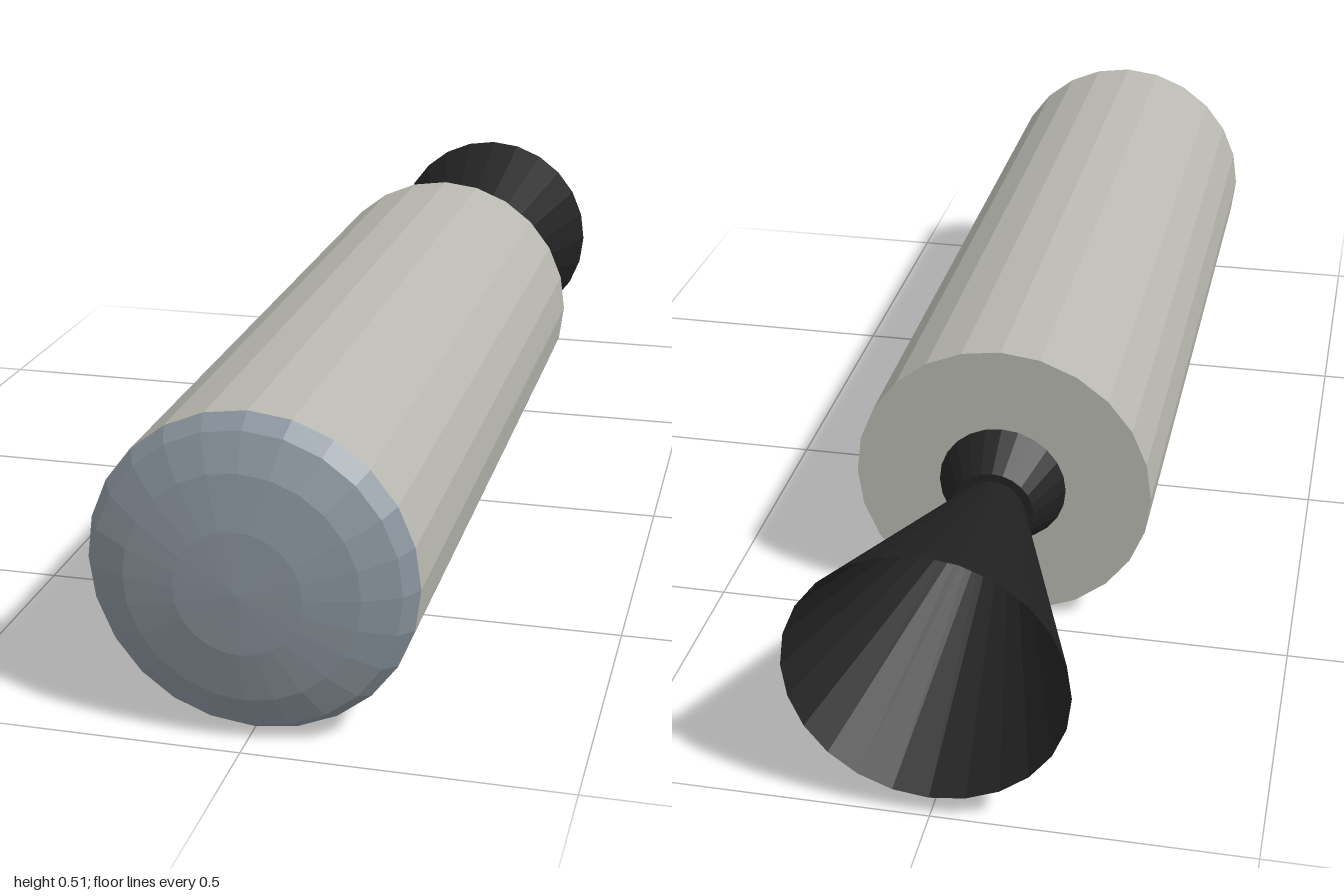
import * as THREE from 'three';

const SIDES = 24;
const RADIUS = 0.254;

function material(name, color, side = THREE.FrontSide) {
  const m = new THREE.MeshStandardMaterial({ color, side, flatShading: true });
  m.name = name;
  return m;
}

// Frustum lying along z, from its front end to its back end
function frustum(name, mat, zFront, rFront, zBack, rBack, open) {
  const g = new THREE.CylinderGeometry(rFront, rBack, zFront - zBack, SIDES, 1, open);
  g.rotateX(Math.PI / 2);
  const mesh = new THREE.Mesh(g, mat);
  mesh.name = name;
  mesh.position.z = (zFront + zBack) / 2;
  return mesh;
}

export function createModel() {
  const group = new THREE.Group();
  group.name = 'rocketStage';

  const hull = material('warm grey hull', 0xb8b8b0);
  const domeGrey = material('blue grey dome', 0x87919a);
  const engineBlack = material('engine black', 0x222222, THREE.DoubleSide);

  // Rocket stage built along z, then lifted to stand on the ground
  const stage = new THREE.Group();
  stage.name = 'stage';
  stage.position.y = RADIUS;
  group.add(stage);

  // Tank body
  stage.add(frustum('tankBody', hull, 0.92, RADIUS, -0.453, RADIUS, false));

  // Shallow front dome
  const domeGeometry = new THREE.SphereGeometry(RADIUS, SIDES, 4, 0, Math.PI * 2, 0, Math.PI / 2);
  domeGeometry.rotateX(Math.PI / 2).scale(1, 1, 0.08 / RADIUS);
  const dome = new THREE.Mesh(domeGeometry, domeGrey);
  dome.name = 'frontDome';
  dome.position.z = 0.92;
  stage.add(dome);

  // Engine mount and open bell nozzle
  stage.add(frustum('engineMount', engineBlack, -0.453, 0.109, -0.532, 0.069, false));
  stage.add(frustum('nozzleBell', engineBlack, -0.53, 0.054, -1, 0.218, true));

  return group;
}
